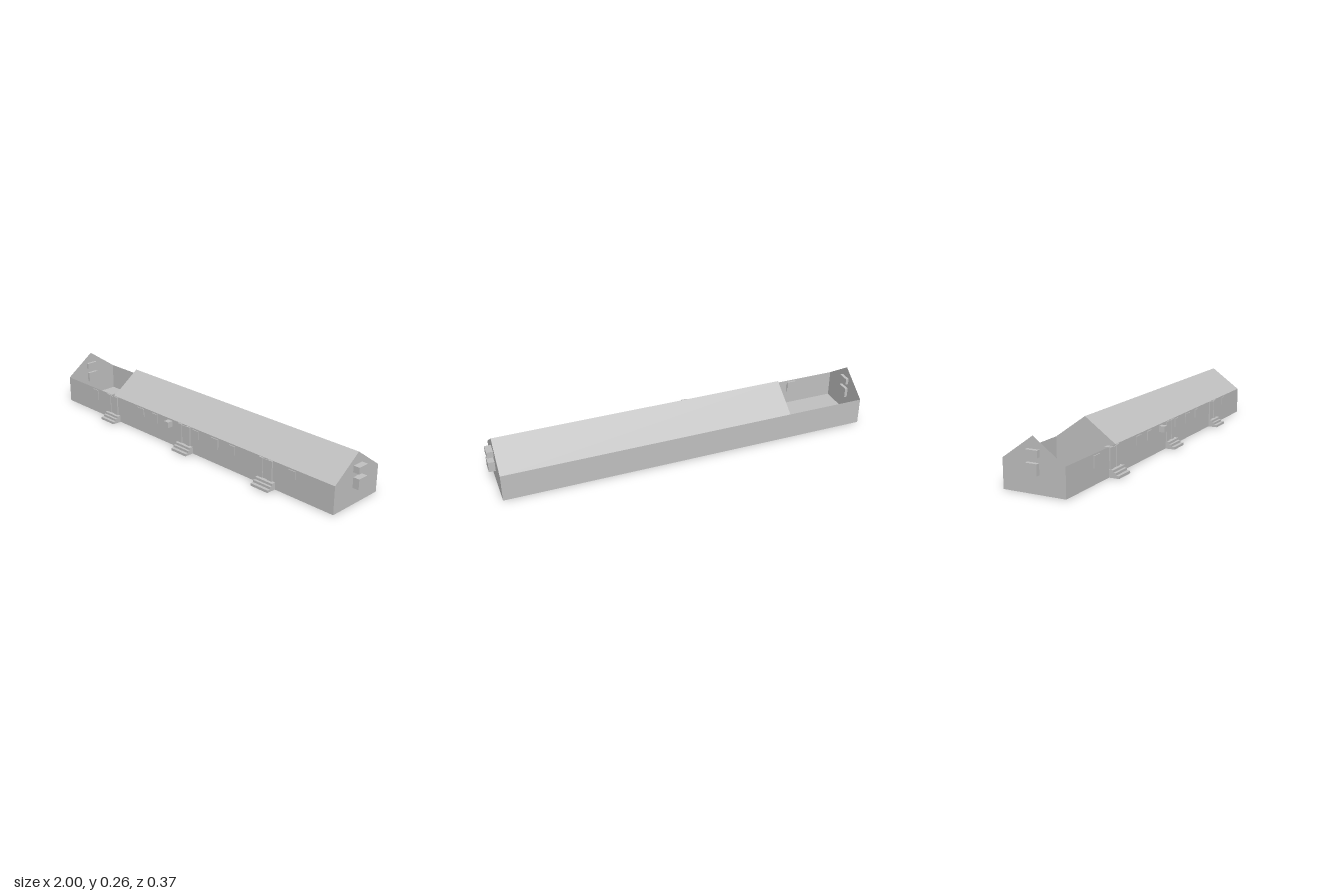
import * as THREE from 'three';

export function createModel() {
  const model = new THREE.Group();
  const gray = new THREE.MeshStandardMaterial({ color: 0xc0c0c0, side: THREE.DoubleSide });
  gray.name = 'plain gray';

  const X0 = -0.98, X1 = 0.967, ROOF_X0 = -0.56;
  const FRONT = 0.135, BACK = -0.187, RIDGE = -0.026, EAVE = 0.143, TOP = 0.258;

  const add = (name, geometry) => {
    const mesh = new THREE.Mesh(geometry, gray);
    mesh.name = name;
    model.add(mesh);
    return mesh;
  };
  const box = (name, x0, x1, y0, y1, z0, z1) =>
    add(name, new THREE.BoxGeometry(x1 - x0, y1 - y0, z1 - z0))
      .position.set((x0 + x1) / 2, (y0 + y1) / 2, (z0 + z1) / 2);

  // Flat sheet running along x between two (z, y) points
  const sheet = (name, xa, xb, [za, ya], [zb, yb]) => {
    const g = new THREE.PlaneGeometry(1, 1);
    const corners = [[xa, yb, zb], [xb, yb, zb], [xa, ya, za], [xb, ya, za]];
    corners.forEach((c, i) => g.attributes.position.setXYZ(i, ...c));
    g.computeVertexNormals();
    add(name, g);
  };

  // Thin shell: floor, long walls and the roof over the finished part
  sheet('floor', X0, X1, [BACK, 0], [FRONT, 0]);
  model.getObjectByName('floor').geometry.index.array.reverse();
  model.getObjectByName('floor').geometry.computeVertexNormals();
  sheet('frontWall', X0, X1, [FRONT, 0], [FRONT, EAVE]);
  sheet('backWall', X1, X0, [BACK, 0], [BACK, EAVE]);
  sheet('frontRoof', ROOF_X0, X1, [FRONT, EAVE], [RIDGE, TOP]);
  sheet('backRoof', X1, ROOF_X0, [BACK, EAVE], [RIDGE, TOP]);

  // Gable walls at both ends and at the edge of the roof
  const gable = new THREE.Shape([[-FRONT, 0], [-BACK, 0], [-BACK, EAVE], [-RIDGE, TOP], [-FRONT, EAVE]]
    .map(([x, y]) => new THREE.Vector2(x, y)));
  for (const [name, x, side] of [['leftGable', X1, 1], ['partition', ROOF_X0, -1], ['rightGable', X0, -1]]) {
    const g = new THREE.ShapeGeometry(gable).rotateY(Math.PI / 2).translate(x, 0, 0);
    if (side < 0) {
      g.index.array.reverse();
      g.computeVertexNormals();
    }
    add(name, g);
  }

  // Projecting windows through the end gables
  for (const [xa, xb] of [[0.964, 1], [-1, -0.964]]) {
    box('lowerGableWindow', xa, xb, 0.088, 0.141, -0.057, 0.003);
    box('upperGableWindow', xa, xb, 0.167, 0.2, -0.055, 0.007);
  }

  // Stairs and door posts
  for (const x of [-0.568, 0.015, 0.572]) {
    [[0.013, 0.187], [0.025, 0.17], [0.037, 0.157]].forEach(([y, z], i) =>
      box('step', x - 0.053, x + 0.053, i * 0.0125, y, FRONT - 0.004, z));
    box('doorPost', x - 0.05, x - 0.022, 0.037, 0.141, 0.11, 0.142);
    box('doorPost', x + 0.008, x + 0.036, 0.037, 0.141, 0.128, 0.142);
    box('door', x - 0.022, x + 0.008, 0.037, 0.136, 0.13, 0.138);
  }

  // Front windows: centre x, width, sill height
  for (const [x, w, sill] of [[-0.73, 0.05, 0.078], [-0.335, 0.052, 0.09], [-0.22, 0.046, 0.088],
    [0.09, 0.04, 0.09], [0.225, 0.052, 0.082], [0.345, 0.04, 0.09], [0.725, 0.046, 0.094]]) {
    box('frontWindow', x - w / 2, x + w / 2, sill, 0.135, 0.126, 0.139);
  }

  // Small box projecting from the front wall
  box('wallBox', -0.115, -0.083, 0.104, 0.135, 0.13, 0.167);

  return model;
}
